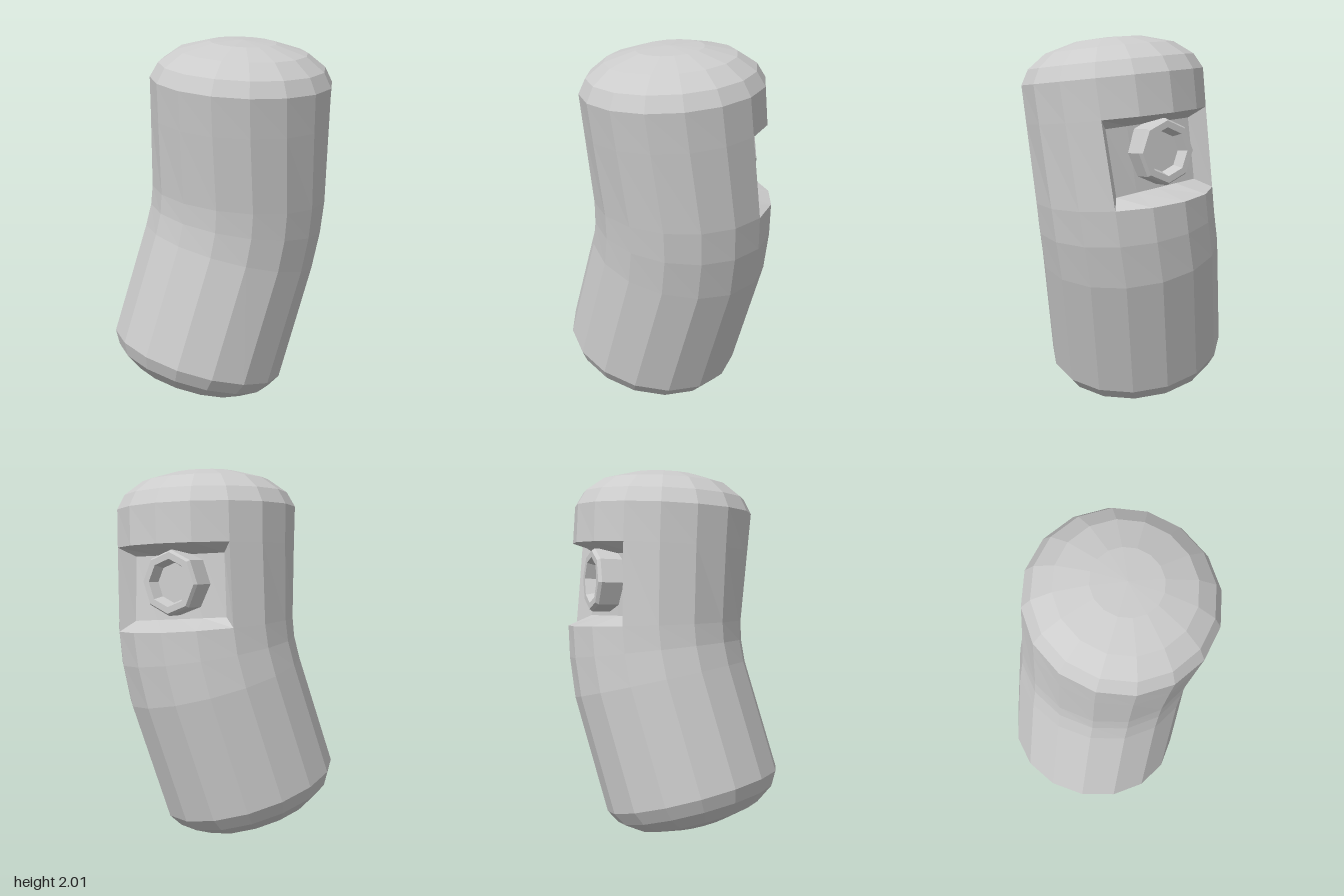
import * as THREE from 'three';

const SIDES = 16;
const NOTCH_FROM = 10, NOTCH_TO = 14; // columns of the rear notch

// A 16-sided ring around centre c, square to the tilted axis n, moved along it by lift
function ring(c, n, r, phase, lift = 0) {
  const axis = new THREE.Vector3(...n).normalize();
  const q = new THREE.Quaternion().setFromUnitVectors(new THREE.Vector3(0, 1, 0), axis);
  const centre = new THREE.Vector3(...c).addScaledVector(axis, lift);
  return Array.from({ length: SIDES }, (_, k) => {
    const a = THREE.MathUtils.degToRad(phase) + (k / SIDES) * Math.PI * 2;
    return new THREE.Vector3(r * Math.cos(a), 0, r * Math.sin(a)).applyQuaternion(q).add(centre);
  });
}

// Collects triangles, leaving out collapsed ones
function surface() {
  const pos = [];
  const tri = (a, b, c) => {
    if (new THREE.Triangle(a, b, c).getArea() > 1e-7) {
      for (const p of [a, b, c]) pos.push(p.x, p.y, p.z);
    }
  };
  return {
    // a, b along the lower row; c, d along the upper row
    quad(a, b, c, d) { tri(a, d, c); tri(a, c, b); },
    geometry() {
      const g = new THREE.BufferGeometry();
      g.setAttribute('position', new THREE.Float32BufferAttribute(pos, 3));
      g.computeVertexNormals();
      return g;
    },
  };
}

export function createModel() {
  const group = new THREE.Group();
  group.name = 'bentCapsule';
  const material = new THREE.MeshStandardMaterial({ color: 0xcccccc, flatShading: true });
  const add = (name, geometry) => {
    const mesh = new THREE.Mesh(geometry, material);
    mesh.name = name;
    group.add(mesh);
    return mesh;
  };

  // Cross-sections up the bent body: rounded ends, bend in the middle
  const base = [-0.12, 0.235, 0.08], baseAxis = [0.24, 1, -0.19];
  const top = [0.105, 1.79, -0.015], topAxis = [0.07, 1, 0.07];
  const notchLow = [[0.072, 1.165, -0.075], [0.09, 1, 0]];
  const notchHigh = [[0.095, 1.585, -0.035], topAxis];
  const dome = [[0, 0.2], [0.18, 0.19], [0.35, 0.145], [0.45, 0.075]]; // radius, distance out
  const rows = [
    ...dome.map(([r, h]) => ring(base, baseAxis, r, -8, -h)),
    ring(base, baseAxis, 0.493, -8),
    ring([0.02, 0.85, -0.06], [0.22, 1, -0.15], 0.49, -8),
    ring([0.055, 1.02, -0.075], [0.15, 1, -0.06], 0.487, -7),
    ring(...notchLow, 0.487, -6),
    ring(...notchHigh, 0.49, -3),
    ring(top, topAxis, 0.493, -2),
    ...dome.toReversed().map(([r, h]) => ring(top, topAxis, r, -2, h * 1.05)),
  ];
  const low = rows[7], high = rows[8];

  // Body skin, open where the notch is
  const body = surface();
  for (let i = 0; i < rows.length - 1; i++) {
    for (let k = 0; k < SIDES; k++) {
      if (i === 7 && k >= NOTCH_FROM && k < NOTCH_TO) continue;
      const n = (k + 1) % SIDES;
      body.quad(rows[i][k], rows[i][n], rows[i + 1][n], rows[i + 1][k]);
    }
  }
  add('body', body.geometry());

  // Notch: sloping ledges, side walls and a flat back wall
  const innerRow = (r) => Array.from({ length: NOTCH_TO - NOTCH_FROM + 1 }, (_, j) =>
    r[NOTCH_FROM].clone().lerp(r[NOTCH_TO], j / (NOTCH_TO - NOTCH_FROM)));
  const inLow = innerRow(ring(...notchLow, 0.39, -6, 0.05));
  const inHigh = innerRow(ring(...notchHigh, 0.39, -3, -0.05));
  const notch = surface();
  const strips = [
    [low.slice(NOTCH_FROM, NOTCH_TO + 1), inLow],
    [inLow, inHigh],
    [inHigh, high.slice(NOTCH_FROM, NOTCH_TO + 1)],
  ];
  for (const [a, b] of strips) {
    for (let j = 0; j < a.length - 1; j++) notch.quad(a[j], a[j + 1], b[j + 1], b[j]);
  }
  notch.quad(low[NOTCH_FROM], inLow[0], inHigh[0], high[NOTCH_FROM]);
  notch.quad(inLow.at(-1), low[NOTCH_TO], high[NOTCH_TO], inHigh.at(-1));
  add('rearNotch', notch.geometry());

  // Eight-sided knob with a dished face, set in the notch
  const profile = [[0.172, -0.03], [0.172, 0.1], [0.16, 0.118], [0.125, 0.118], [0.105, 0.06], [0, 0.06]]
    .map(([r, h]) => new THREE.Vector2(r, h));
  const knob = add('knob', new THREE.LatheGeometry(profile, 8));
  knob.position.set(0.05, 1.41, -0.335);
  knob.rotation.x = THREE.MathUtils.degToRad(-87);

  return group;
}
